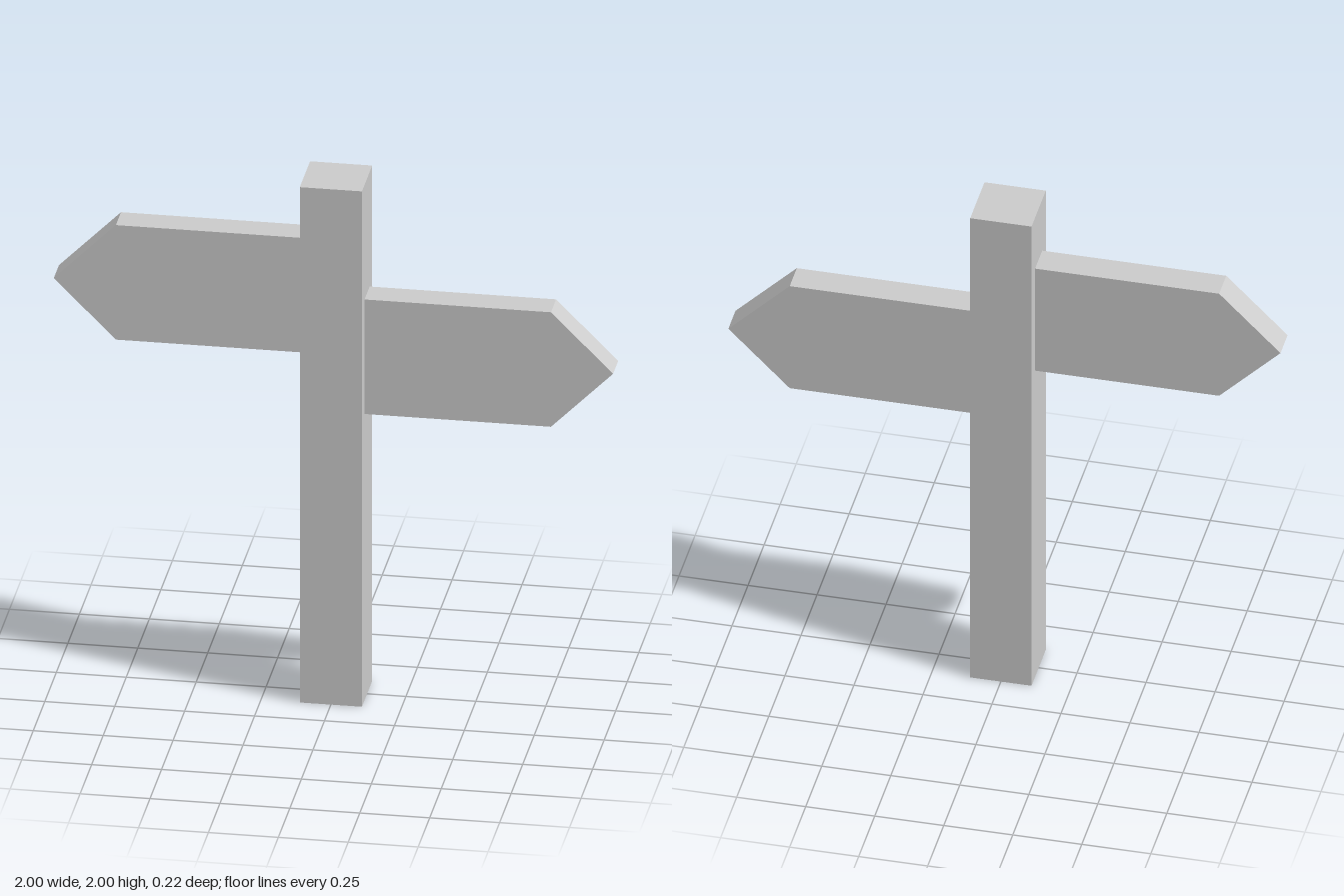
import * as THREE from 'three';

const U = 1 / 9; // modular unit shared by all parts

export function createModel() {
  const group = new THREE.Group();
  const material = new THREE.MeshStandardMaterial({ color: 0xcccccc, flatShading: true });

  const add = (name, geometry, x, y, z) => {
    const mesh = new THREE.Mesh(geometry, material);
    mesh.name = name;
    mesh.position.set(x, y, z);
    group.add(mesh);
  };

  // Square post
  add('post', new THREE.BoxGeometry(2 * U, 2, 2 * U), 0, 1, 0);

  // Pointed board reaching out from the post; side is +1 or -1 along x
  const board = (side) => {
    const outline = [[U, -2 * U], [7 * U, -2 * U], [9 * U, 0], [7 * U, 2 * U], [U, 2 * U]];
    const shape = new THREE.Shape(outline.map(([x, y]) => new THREE.Vector2(side * x, y)));
    return new THREE.ExtrudeGeometry(shape, { depth: U, bevelEnabled: false });
  };
  add('leftArrowBoard', board(1), 0, 12 * U, -U / 2);
  add('rightArrowBoard', board(-1), 0, 14 * U, -U / 2);

  return group;
}
